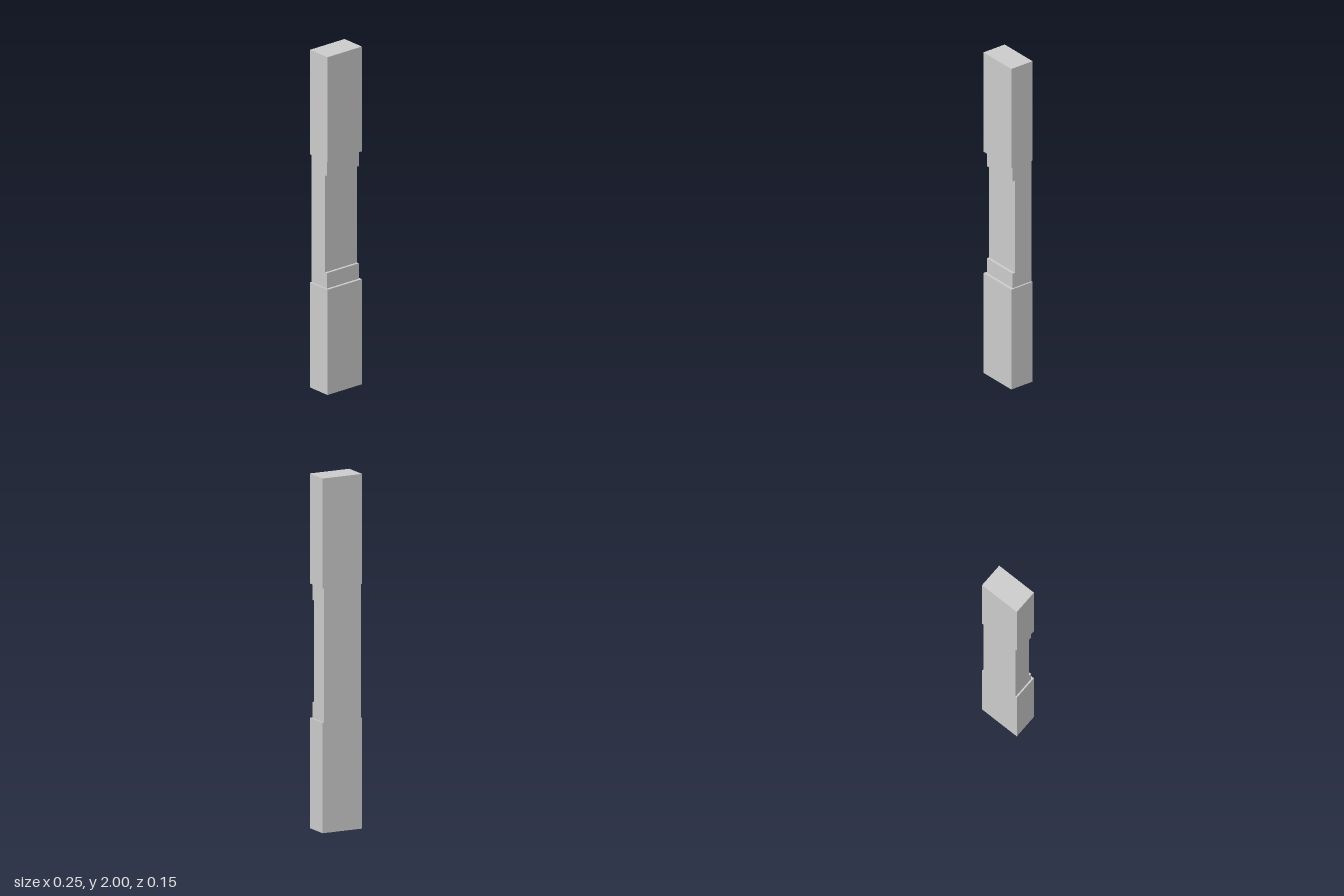
import * as THREE from 'three';

export function createModel() {
  const group = new THREE.Group();
  const material = new THREE.MeshStandardMaterial({ color: 0xcccccc, flatShading: true });
  const add = (name, geometry) => {
    const mesh = new THREE.Mesh(geometry, material);
    mesh.name = name;
    group.add(mesh);
    return mesh;
  };

  const width = 0.248, depth = 0.148;
  const back = -depth / 2;
  const lower = 0.623, upper = 1.38; // where the end blocks meet the waist

  // Square end blocks
  for (const [name, y0, y1] of [['lowerBlock', 0, lower], ['upperBlock', upper, 2]]) {
    add(name, new THREE.BoxGeometry(width, y1 - y0, depth)).position.y = (y0 + y1) / 2;
  }

  // Recessed waist with a stepped collar at each end, flat at the back
  const collar = 0.058, panel = 0.042, waistWidth = 0.23;
  const profile = new THREE.Shape([
    [back, lower], [collar, lower], [collar, 0.714], [panel, 0.714],
    [panel, 1.289], [collar, 1.289], [collar, upper], [back, upper],
  ].map(([z, y]) => new THREE.Vector2(z, y)));
  const waist = new THREE.ExtrudeGeometry(profile, { depth: waistWidth, bevelEnabled: false });
  waist.translate(0, 0, -waistWidth / 2).rotateY(-Math.PI / 2);
  add('waist', waist);

  return group;
}
